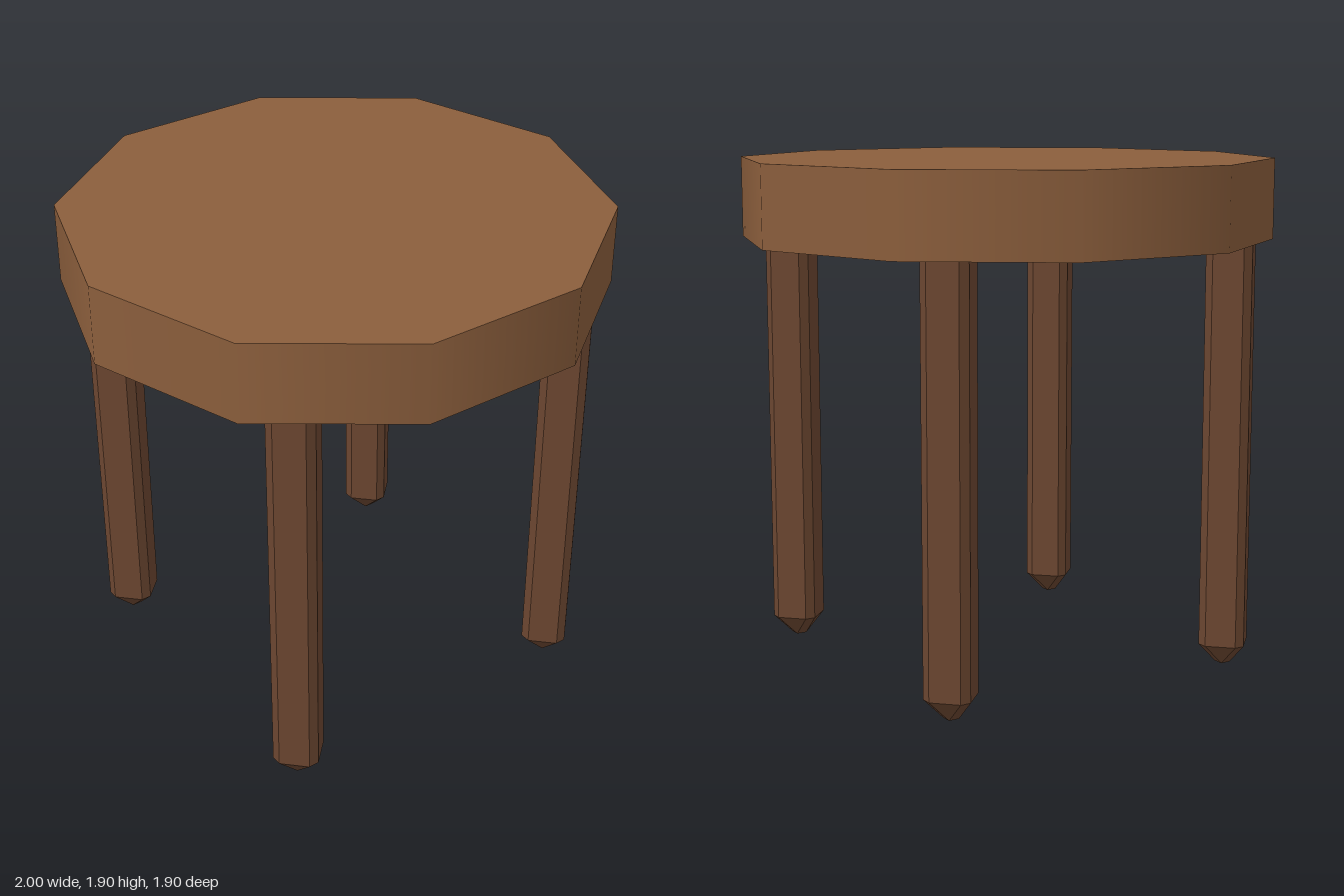
import * as THREE from 'three';
import { ConvexGeometry } from 'three/addons/geometries/ConvexGeometry.js';

// Box with every edge cut off by the same chamfer, standing on y = 0
function chamferedBox(width, height, chamfer) {
  const h = [width / 2, height / 2, width / 2];
  const points = [];
  for (const sx of [-1, 1]) for (const sy of [-1, 1]) for (const sz of [-1, 1]) {
    for (let axis = 0; axis < 3; axis++) {
      // one point per face meeting at this corner
      const [x, y, z] = h.map((half, i) => (i === axis ? half : half - chamfer));
      points.push(new THREE.Vector3(sx * x, sy * y + h[1], sz * z));
    }
  }
  return new ConvexGeometry(points);
}

export function createModel() {
  const seatWood = new THREE.MeshStandardMaterial({ name: 'seatWood', color: 0x8b5e3c });
  const legWood = new THREE.MeshStandardMaterial({ name: 'legWood', color: 0x6b4630 });

  const stool = new THREE.Group();
  stool.name = 'stool';

  // Ten-sided seat with smoothly shaded rim, corners on the x axis
  const seat = new THREE.Mesh(
    new THREE.CylinderGeometry(1, 1, 0.3, 10, 1, false, Math.PI / 2), seatWood);
  seat.name = 'seat';
  seat.position.y = 1.75;
  stool.add(seat);

  // Four chamfered legs, their tops sunk into the seat
  const legGeometry = chamferedBox(0.2, 1.7, 0.08);
  for (const [side, x] of [['Left', 0.6], ['Right', -0.6]]) {
    for (const [end, z] of [['front', 0.6], ['back', -0.6]]) {
      const leg = new THREE.Mesh(legGeometry, legWood);
      leg.name = `${end}${side}Leg`;
      leg.position.set(x, 0, z);
      stool.add(leg);
    }
  }
  return stool;
}
